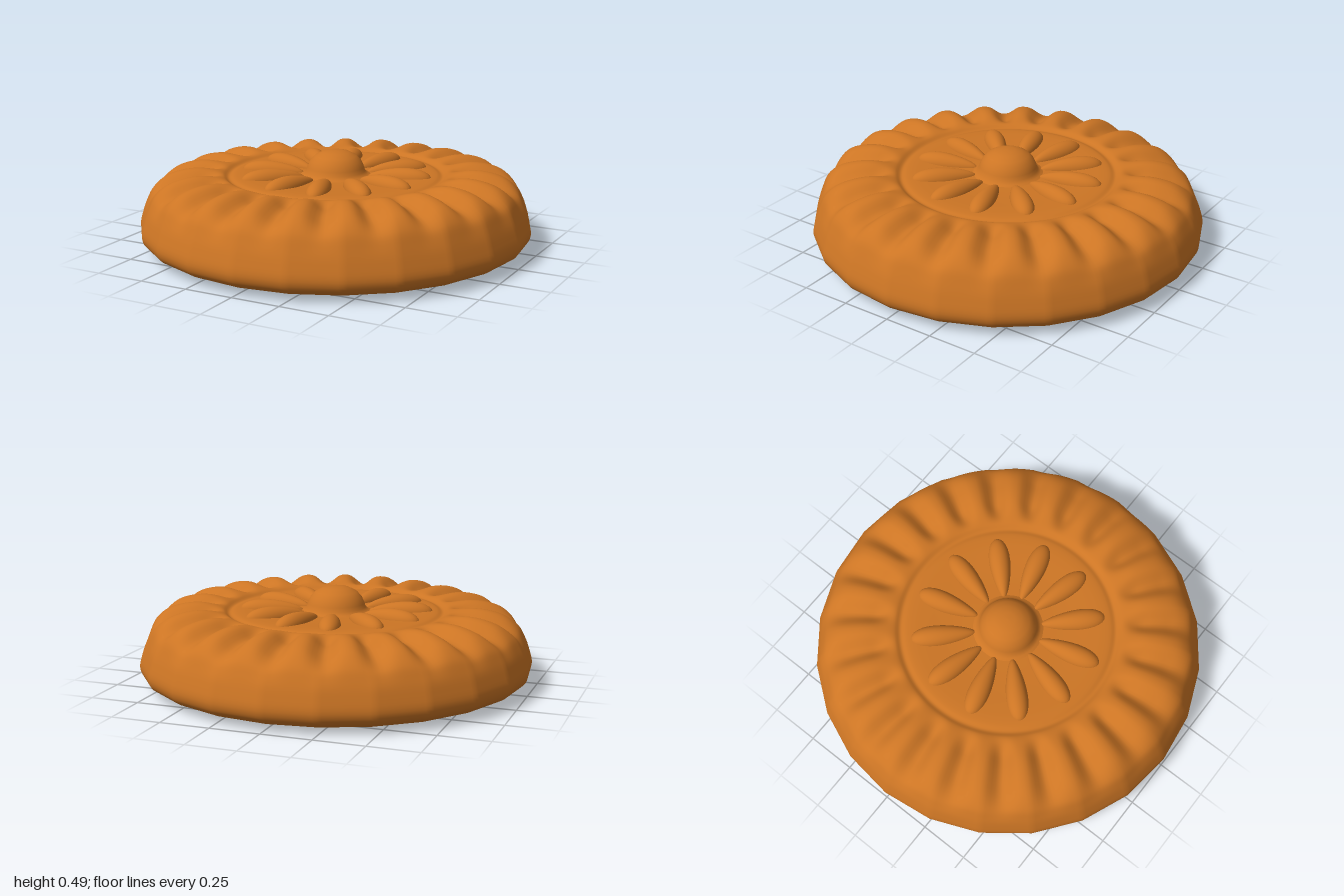
import * as THREE from 'three';
import { mergeVertices } from 'three/addons/utils/BufferGeometryUtils.js';

const RIDGES = 23, SIDES = 24, PETALS = 12;
const smooth = THREE.MathUtils.smoothstep;

// Moves every vertex by a rule, then welds the seams and smooths the normals
function reshape(geometry, rule) {
  const p = geometry.attributes.position, v = new THREE.Vector3();
  for (let i = 0; i < p.count; i++) {
    v.fromBufferAttribute(p, i);
    rule(v);
    p.setXYZ(i, v.x, v.y, v.z);
  }
  geometry.deleteAttribute('uv');
  geometry.deleteAttribute('normal');
  const welded = mergeVertices(geometry, 1e-5);
  welded.computeVertexNormals();
  return welded;
}

// Round biscuit with a soft rim, pressed ridges and a shallow ring groove
function bodyGeometry() {
  const profile = [
    [0, 0.005], [0.4, 0.005], [0.75, 0.008], [0.86, 0.016], [0.94, 0.035], [0.985, 0.065],
    [1, 0.11], [0.985, 0.18], [0.96, 0.25], [0.93, 0.31], [0.87, 0.362], [0.79, 0.39],
    [0.7, 0.4], [0.62, 0.39], [0.575, 0.378], [0.545, 0.361], [0.515, 0.369], [0.46, 0.372],
    [0.3, 0.365], [0.15, 0.365], [0, 0.365],
  ].map(([r, y]) => new THREE.Vector3(r, y, 0));
  const points = new THREE.CatmullRomCurve3(profile, false, 'centripetal').getPoints(80)
    .map((p) => new THREE.Vector2(Math.max(0, p.x), p.y));
  points[0].x = points[points.length - 1].x = 0;

  return reshape(new THREE.LatheGeometry(points, 288), (v) => {
    const r = Math.hypot(v.x, v.z), a = Math.atan2(v.z, v.x);
    // Ridges fade towards the ring groove and down the side
    const groove = Math.pow(0.5 + 0.5 * Math.cos(RIDGES * (a - 0.06)), 1.4);
    const top = smooth(v.y, 0.2, 0.36);
    const band = smooth(r, 0.56, 0.7) * (1 - 0.6 * smooth(r, 0.82, 0.97)) * top;
    // The outline is a softly faceted polygon
    const step = (Math.PI * 2) / SIDES;
    const off = a - Math.round(a / step) * step;
    const facet = Math.cos(step / 2) / Math.cos(step / 2 - Math.abs(off));
    const k = (1 + (facet - 1) * smooth(r, 0.6, 0.95)) * (1 - 0.014 * groove * band);
    v.y += -0.05 * groove * band + (0.012 * v.x + 0.007 * v.z) * top * smooth(r, 0.5, 0.7);
    v.x *= k;
    v.z *= k;
  });
}

// Teardrop petal lying along +x, narrow and low at its inner end
function petalGeometry() {
  return reshape(new THREE.SphereGeometry(1, 28, 20), (v) => {
    const t = (v.x + 1) / 2;
    v.z *= 0.035 + 0.036 * t;
    v.y = 0.358 + v.y * (0.042 + 0.026 * t);
    v.x = 0.33 + 0.165 * v.x;
  });
}

export function createModel() {
  const group = new THREE.Group();
  const biscuit = new THREE.MeshStandardMaterial({ color: 0xcc7524 });
  biscuit.name = 'biscuit brown';
  const add = (name, geometry) => {
    const mesh = new THREE.Mesh(geometry, biscuit);
    mesh.name = name;
    group.add(mesh);
    return mesh;
  };

  add('body', bodyGeometry());

  // Ring of petals
  const petal = petalGeometry();
  for (let i = 0; i < PETALS; i++) {
    add('petal', petal).rotation.y = ((i + 0.5) / PETALS) * Math.PI * 2;
  }

  // Domed flower centre with a flared foot
  const dome = [[0.19, 0.36], [0.165, 0.37], [0.15, 0.385], [0.145, 0.405], [0.13, 0.437],
    [0.105, 0.463], [0.07, 0.481], [0.035, 0.489], [0, 0.49]]
    .map(([r, y]) => new THREE.Vector2(r, y));
  add('flowerCentre', new THREE.LatheGeometry(dome, 48));

  return group;
}
